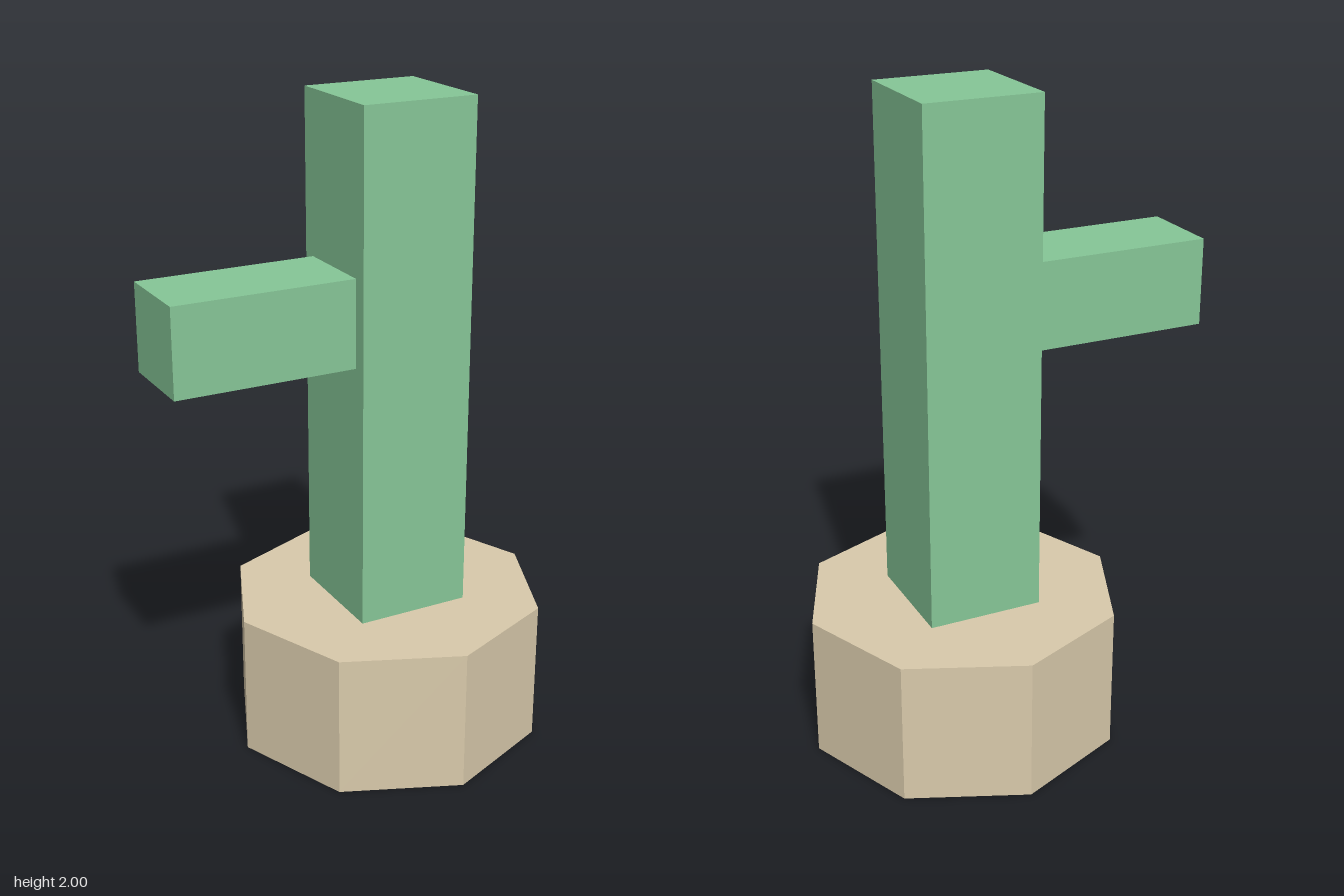
import * as THREE from 'three';

export function createModel() {
  const model = new THREE.Group();
  model.name = 'pottedCactus';

  const green = new THREE.MeshStandardMaterial({ color: 0x86c697 });
  green.name = 'cactusGreen';
  const tan = new THREE.MeshStandardMaterial({ color: 0xd9caab });
  tan.name = 'potTan';
  tan.flatShading = true;

  const add = (name, geometry, material, x, y, z = 0) => {
    const mesh = new THREE.Mesh(geometry, material);
    mesh.name = name;
    mesh.position.set(x, y, z);
    model.add(mesh);
  };

  const axis = 0.121; // shared centre of pot and stem
  const potHeight = 0.445;
  const stemWidth = 0.355;
  const armLength = 0.555;
  const armWidth = 0.266;

  // Eight-sided pot with a corner pointing sideways
  add('pot', new THREE.CylinderGeometry(0.489, 0.489, potHeight, 8), tan, axis, potHeight / 2);

  // Square stem standing on the pot
  add('stem', new THREE.BoxGeometry(stemWidth, 2 - potHeight, stemWidth), green, axis, (2 + potHeight) / 2);

  // Single arm on the right side of the stem
  add('arm', new THREE.BoxGeometry(armLength, armWidth, armWidth), green,
    axis - stemWidth / 2 - armLength / 2, 1.38);

  return model;
}
